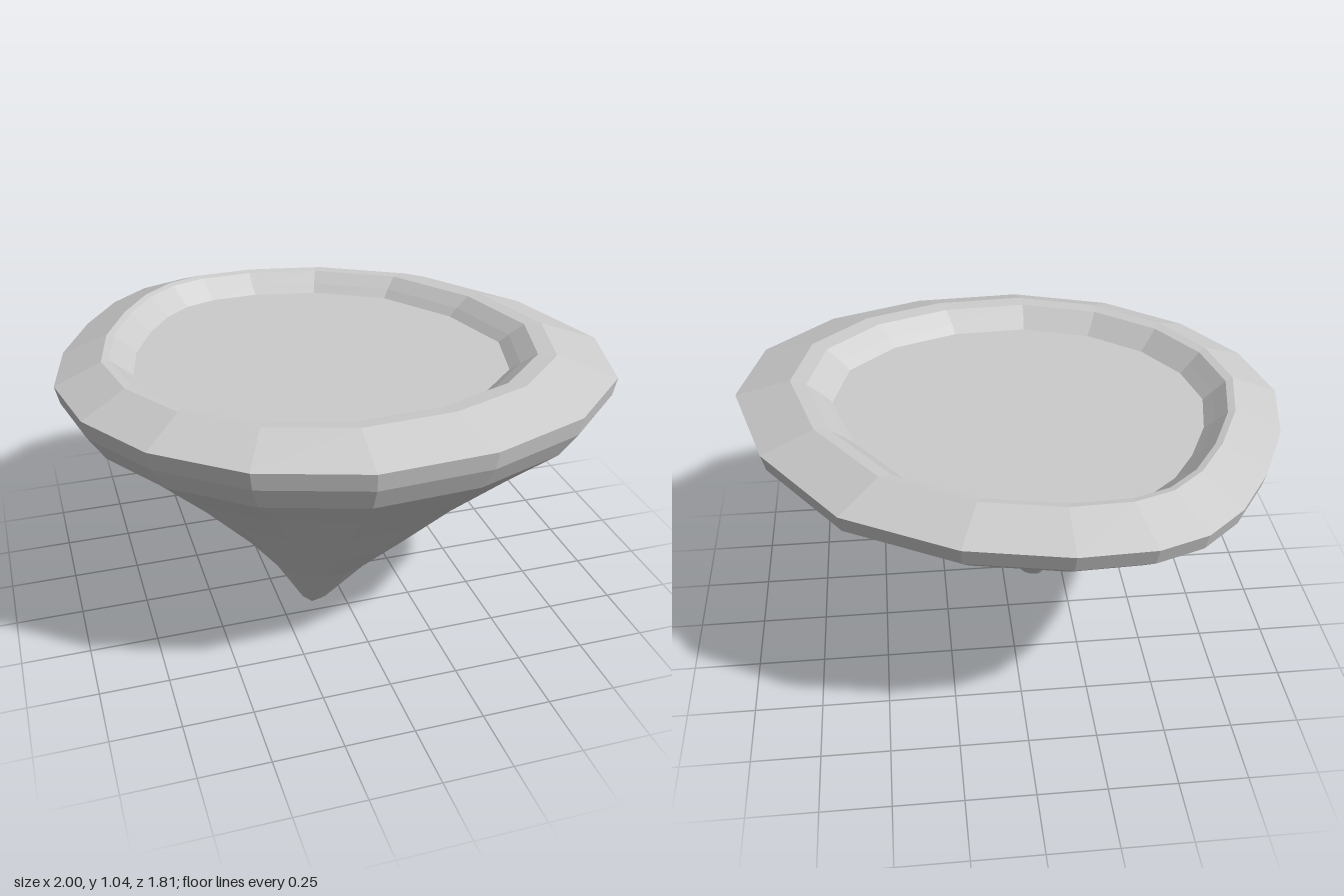
import * as THREE from 'three';

// Widest outline of the top, as x, z corners seen from above
const OUTLINE = [
  [-1, 0], [-0.94, -0.28], [-0.82, -0.53], [-0.69, -0.72], [-0.55, -0.84], [-0.38, -0.9],
  [-0.12, -0.91], [0.23, -0.84], [0.61, -0.63], [0.88, -0.25], [1, 0.17], [0.91, 0.51],
  [0.65, 0.75], [0.29, 0.88], [-0.12, 0.9], [-0.49, 0.78], [-0.77, 0.56], [-0.94, 0.29],
];

// Each ring is the outline scaled and shifted: [y, scale, centre x, centre z]
const CONE = [
  [0, 0, -0.13, 0.195],
  [0.04, 0.053, -0.12, 0.19],
  [0.23, 0.19, -0.095, 0.195],
  [0.39, 0.333, -0.075, 0.2],
  [0.565, 0.52, -0.06, 0.17],
  [0.71, 0.73, -0.03, 0.1],
  [0.825, 0.916, -0.01, 0.035],
  [0.905, 0.985, 0, 0.005],
  [0.97, 1, 0, 0],
];
const RIM = [
  [0.97, 1, 0, 0],
  [1.04, 0.81, -0.02, -0.005],
  [1.035, 0.765, -0.035, -0.02],
  [0.995, 0.715, -0.04, -0.023],
  [0.965, 0.68, -0.04, -0.025],
];
const FLOOR = [
  [0.965, 0.68, -0.04, -0.025],
  [0.965, 0, -0.04, -0.025],
];

const material = new THREE.MeshStandardMaterial({ color: 0xcccccc, flatShading: true });

// Skin a stack of rings; a ring of zero scale closes to a point
function skin(name, rings) {
  const n = OUTLINE.length;
  const position = [];
  const index = [];
  for (const [y, s, cx, cz] of rings) {
    for (const [x, z] of OUTLINE) position.push(cx + x * s, y, cz + z * s);
  }
  for (let r = 0; r < rings.length - 1; r++) {
    for (let i = 0; i < n; i++) {
      const a = r * n + i;
      const b = r * n + (i + 1) % n;
      if (rings[r][1] > 0) index.push(a, a + n, b);
      if (rings[r + 1][1] > 0) index.push(b, a + n, b + n);
    }
  }
  const geometry = new THREE.BufferGeometry();
  geometry.setAttribute('position', new THREE.Float32BufferAttribute(position, 3));
  geometry.setIndex(index);
  geometry.computeVertexNormals();
  const mesh = new THREE.Mesh(geometry, material);
  mesh.name = name;
  return mesh;
}

export function createModel() {
  const group = new THREE.Group();
  group.name = 'islandBase';
  group.add(skin('taperedUnderside', CONE), skin('raisedRim', RIM), skin('recessedFloor', FLOOR));
  return group;
}
